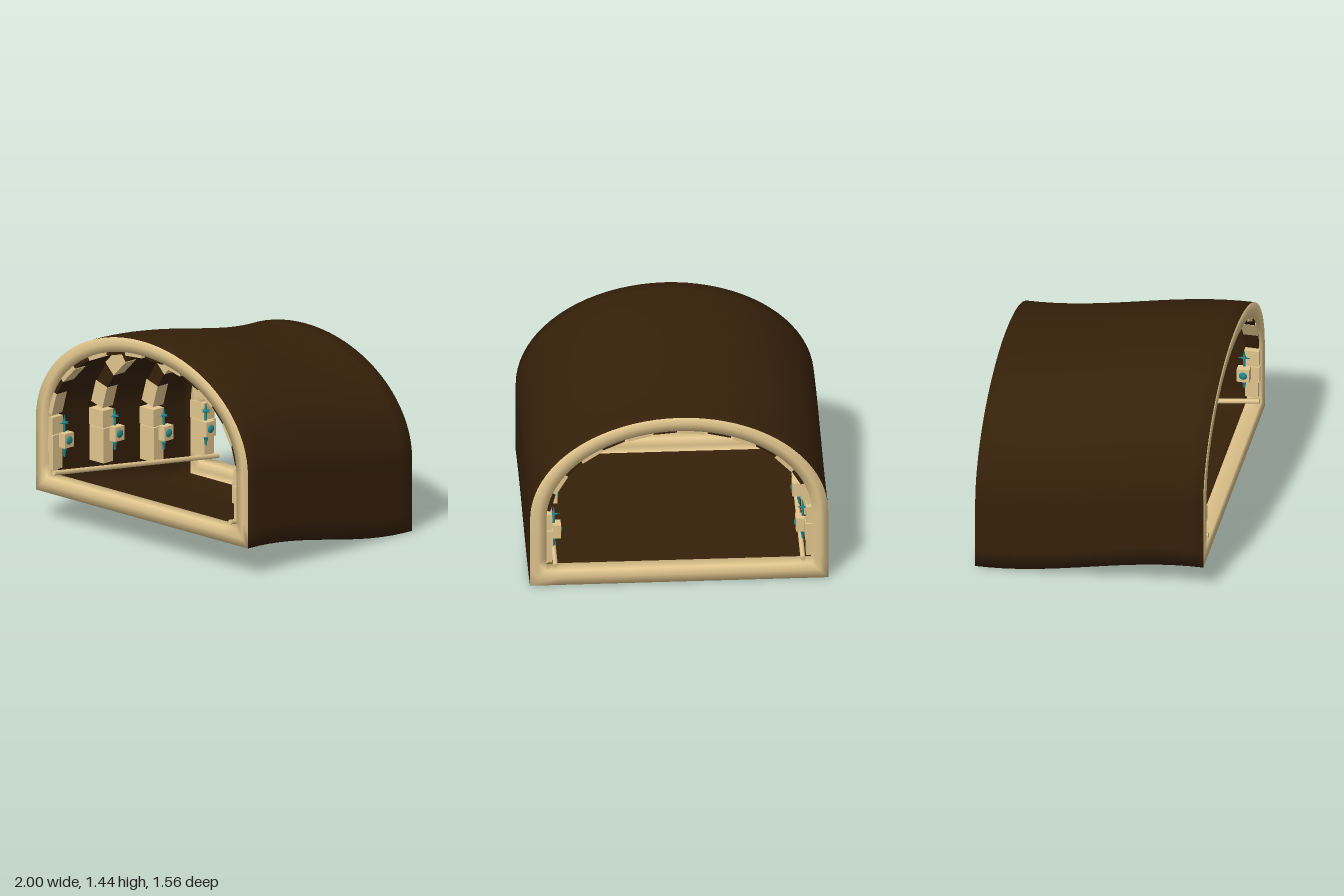
import * as THREE from 'three';

const HALF = 0.78; // half length of the tunnel
const WALL = 0.5;  // height where the walls meet the vault
const RIM = 0.1;   // depth of the rims along the tunnel
const THIN = 0.1;  // share of the rim thickness that the wall has

// Floor height: eases from 0 at the back to 0.2 at the front
const base = z => 0.1 - 0.1 * Math.cos(Math.PI * (z + HALF) / (2 * HALF));

// Cross-section, t = 0 outside, t = 1 at the rim opening, counterclockwise from the +x floor corner
function section(t) {
  const a = 1 - 0.11 * t, floor = 0.11 * t, b = 0.74 - 0.1 * t, pts = [];
  for (let i = 0; i < 4; i++) pts.push([a, floor + (WALL - floor) * i / 4]);
  for (let i = 0; i <= 40; i++) {
    const u = Math.PI * i / 40;
    pts.push([a * Math.cos(u), WALL + b * Math.sin(u)]);
  }
  for (let i = 1; i <= 4; i++) pts.push([-a, WALL + (floor - WALL) * i / 4]);
  for (let i = 1; i < 12; i++) pts.push([-a + 2 * a * i / 12, floor]);
  return pts;
}

// Closed skin with shared smooth normals: outside, back rim, thin inner wall, front rim
function shellGeometry() {
  const N = 16, rows = []; // z, t, material of the strip that follows
  for (let i = 0; i <= N; i++) rows.push([HALF - 2 * HALF * i / N, 0, i < N ? 0 : 1]);
  rows.push([-HALF, 0.5, 1], [-HALF, 1, 1], [-HALF + RIM, 1, 1], [-HALF + RIM, 0.5, 1]);
  const inner = HALF - RIM;
  for (let i = 0; i <= N; i++) rows.push([-inner + 2 * inner * i / N, THIN, i < N ? 0 : 1]);
  rows.push([inner, 0.5, 1], [inner, 1, 1], [HALF, 1, 1], [HALF, 0.5, 1]);

  const pos = [], index = [], n = section(0).length;
  for (const [z, t] of rows) for (const [x, y] of section(t)) pos.push(x, y + base(z), z);
  const geo = new THREE.BufferGeometry();
  rows.forEach((row, i) => {
    const next = (i + 1) % rows.length, start = index.length;
    for (let j = 0; j < n; j++) {
      const k = (j + 1) % n;
      const a = i * n + j, b = next * n + j, c = i * n + k, d = next * n + k;
      index.push(a, b, c, c, b, d);
    }
    geo.addGroup(start, index.length - start, row[2]);
  });
  geo.setAttribute('position', new THREE.Float32BufferAttribute(pos, 3));
  geo.setIndex(index);
  geo.computeVertexNormals();
  return geo;
}

export function createModel() {
  const model = new THREE.Group();
  model.name = 'archedTunnel';
  const material = (name, color) => {
    const m = new THREE.MeshStandardMaterial({ color });
    m.name = name;
    return m;
  };
  const brown = material('darkBrown', 0x352009);
  const tan = material('sandstone', 0xe0c58d);
  const teal = material('teal', 0x1f8a8c);

  const add = (parent, name, geo, mat, x = 0, y = 0, z = 0) => {
    const mesh = new THREE.Mesh(geo, mat);
    mesh.name = name;
    mesh.position.set(x, y, z);
    parent.add(mesh);
    return mesh;
  };

  add(model, 'tunnelShell', shellGeometry(), [brown, tan]);

  // Wall sconce: stone block with teal boss, stem and star
  function sconce(side) {
    const g = new THREE.Group();
    g.name = 'sconce';
    const x = side * 0.02;
    add(g, 'sconceBlock', new THREE.BoxGeometry(0.055, 0.1, 0.085), tan);
    add(g, 'sconceBoss', new THREE.SphereGeometry(0.032, 12, 8), teal, -side * 0.02).scale.x = 0.6;
    add(g, 'sconceStem', new THREE.CylinderGeometry(0.008, 0.008, 0.24, 8), teal, x, 0);
    add(g, 'sconceFoot', new THREE.ConeGeometry(0.016, 0.06, 8), teal, x, -0.1).rotation.x = Math.PI;
    add(g, 'starTop', new THREE.ConeGeometry(0.012, 0.06, 6), teal, x, 0.145);
    // Four-pointed star above the block
    for (let i = 0; i < 4; i++) {
      const geo = new THREE.ConeGeometry(0.012, 0.045, 6).translate(0, 0.02, 0);
      add(g, 'starPoint', geo, teal, x, 0.115).rotation.set(Math.PI / 2, 0, i * Math.PI / 2);
    }
    return g;
  }

  for (const z of [0.72, 0.24, -0.24, -0.72]) {
    const rib = new THREE.Group();
    rib.name = 'rib';
    rib.position.set(0, base(z), z);
    model.add(rib);

    // Vault blocks, alternating in colour, bedded in the ceiling
    for (let i = 1; i <= 14; i++) {
      const u = i * Math.PI / 15, a = 0.91, b = 0.668, light = i % 2 === 0;
      const geo = new THREE.BoxGeometry(light ? 0.11 : 0.1, 0.158, light ? 0.1 : 0.09);
      const block = add(rib, 'vaultBlock', geo, light ? tan : brown, a * Math.cos(u), WALL + b * Math.sin(u));
      block.rotation.z = Math.atan2(Math.sin(u) / b, Math.cos(u) / a);
    }

    for (const side of [1, -1]) {
      // Stacked pillar blocks of varying width
      [0.09, 0.11, 0.1].forEach((w, i) =>
        add(rib, 'pillarBlock', new THREE.BoxGeometry(0.13, 0.12, w), tan,
          side * (i === 1 ? 0.91 : 0.918), 0.222 + i * 0.123));
      const lamp = sconce(side);
      lamp.position.set(side * 0.815, 0.365, z > 0 ? -0.045 : z < -0.5 ? 0.05 : -0.03);
      rib.add(lamp);
    }
  }

  // Straight rails sloping along both walls
  const front = 0.35, back = 0.147;
  for (const side of [1, -1]) {
    const geo = new THREE.CylinderGeometry(0.017, 0.017, Math.hypot(2 * HALF, front - back), 8);
    const rail = add(model, 'wallRail', geo, tan, side * 0.83, (front + back) / 2, 0);
    rail.rotation.x = Math.atan2(2 * HALF, front - back);
  }
  return model;
}
